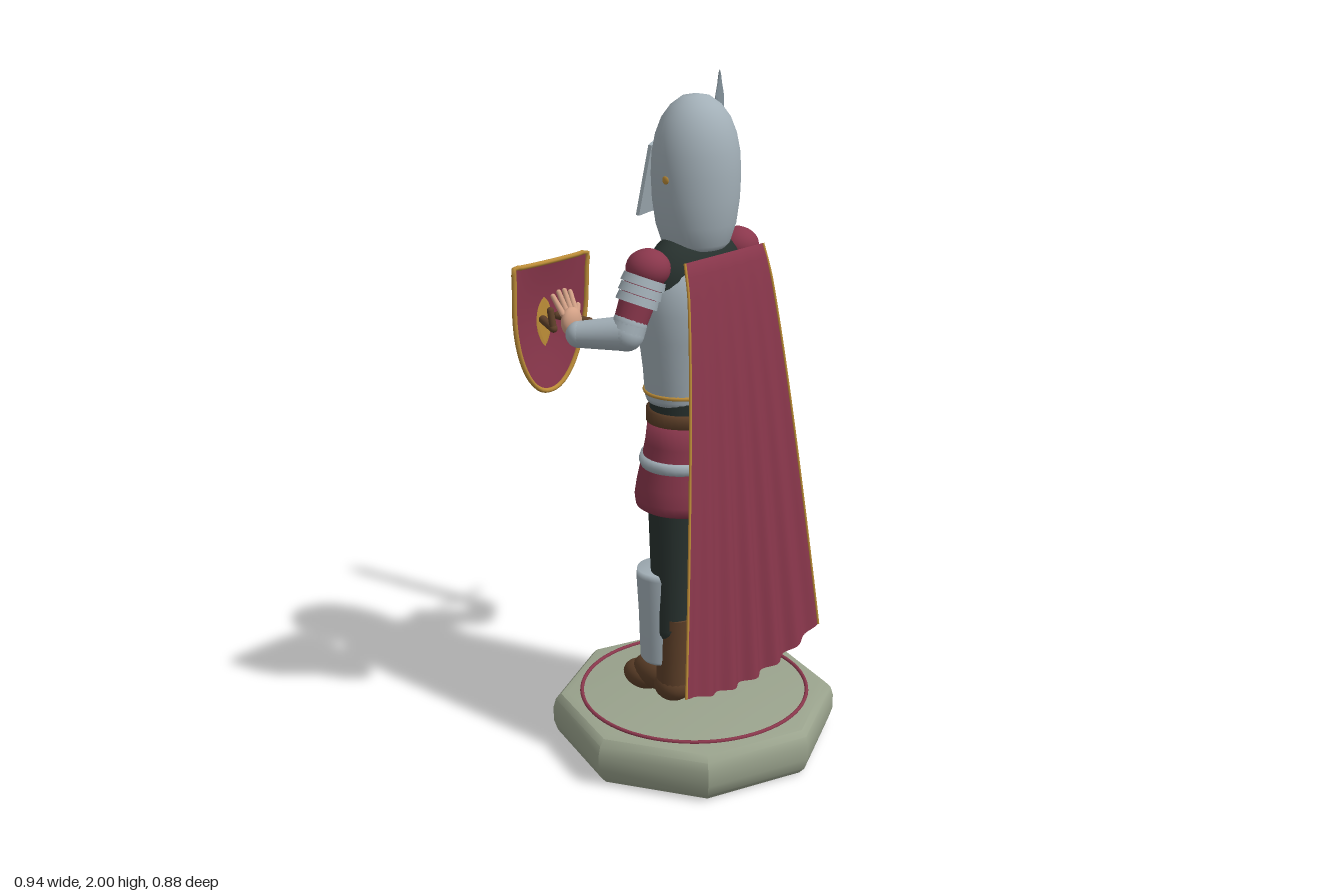
import * as THREE from 'three';
import { toCreasedNormals } from 'three/addons/utils/BufferGeometryUtils.js';
import { ParametricGeometry } from 'three/addons/geometries/ParametricGeometry.js';

const colour = (name, color, side = THREE.FrontSide) => {
  const m = new THREE.MeshStandardMaterial({ color, side });
  m.name = name;
  return m;
};
const V = (x, y, z) => new THREE.Vector3(x, y, z);
const UP = V(0, 1, 0);

export function createModel() {
  const steel = colour('steel', 0xa3b0b8);
  const blade = colour('blade steel', 0x84929b);
  const red = colour('crimson cloth', 0x8a374c, THREE.DoubleSide);
  const dark = colour('dark cloth', 0x28322f);
  const gold = colour('gold', 0xbd8d38);
  const brown = colour('brown leather', 0x5e4029);
  const skin = colour('skin', 0xd3a186);
  const stone = colour('stone', 0x9aa38d);
  const model = new THREE.Group();
  model.name = 'knight';

  const add = (name, geo, mat, pos = [0, 0, 0], scale = [1, 1, 1], parent = model) => {
    const m = new THREE.Mesh(geo, mat);
    m.name = name;
    m.position.set(...pos);
    m.scale.set(...scale);
    parent.add(m);
    return m;
  };
  const lathe = (pts, segs = 40) => new THREE.LatheGeometry(pts.map(p => new THREE.Vector2(...p)), segs);
  const ball = (name, mat, pos, scale, parent) =>
    add(name, new THREE.SphereGeometry(1, 24, 16), mat, pos, scale, parent);
  // tapered rod from a to b, with round ends when asked
  const rod = (name, mat, a, b, ra, rb = ra, round = true) => {
    const d = b.clone().sub(a);
    const m = add(name, new THREE.CylinderGeometry(rb, ra, d.length(), 20), mat, a.clone().add(b).multiplyScalar(0.5).toArray());
    m.quaternion.setFromUnitVectors(UP, d.normalize());
    if (round) {
      ball(name + 'Start', mat, a.toArray(), [ra, ra, ra]);
      ball(name + 'End', mat, b.toArray(), [rb, rb, rb]);
    }
    return m;
  };
  const tube = (name, mat, pts, r, closed = false) =>
    add(name, new THREE.TubeGeometry(new THREE.CatmullRomCurve3(pts, closed), 64, r, 8, closed), mat);
  // pointed oval boss
  const boss = (name, pos, w, h, depth) => {
    const s = new THREE.Shape();
    s.moveTo(0, -h).quadraticCurveTo(w * 2, 0, 0, h).quadraticCurveTo(-w * 2, 0, 0, -h);
    add(name, new THREE.ExtrudeGeometry(s, { depth: 0.004, bevelThickness: depth, bevelSize: w * 0.4, bevelOffset: -w * 0.4, bevelSegments: 3 }), gold, pos);
  };

  // Octagonal plinth with inlaid ring
  add('plinth', toCreasedNormals(lathe([[0, 0], [0.41, 0], [0.428, 0.02], [0.44, 0.055], [0.44, 0.1],
    [0.432, 0.128], [0.415, 0.145], [0.39, 0.15], [0, 0.15]], 8), 0.6), stone);
  add('plinthRing', new THREE.TorusGeometry(0.35, 0.006, 8, 72), red, [0, 0.152, 0]).rotation.x = Math.PI / 2;

  // Legs, greaves and boots
  for (const s of [-1, 1]) {
    const x = s * 0.1, z = s > 0 ? 0.015 : -0.01;
    rod('leg', dark, V(s * 0.085, 0.86, 0), V(x, 0.4, z + 0.01), 0.085, 0.062);
    add('greave', lathe([[0, 0.28], [0.064, 0.28], [0.07, 0.29], [0.074, 0.44], [0.08, 0.56], [0.077, 0.58], [0, 0.585]]),
      steel, [x, 0, z - 0.03]);
    rod('bootShaft', brown, V(x, 0.2, z + 0.012), V(x, 0.44, z + 0.025), 0.056, 0.056, false);
    ball('bootHeel', brown, [x, 0.205, z + 0.01], [0.06, 0.055, 0.062]);
    ball('bootInstep', brown, [x, 0.22, z - 0.06], [0.05, 0.055, 0.085]);
    ball('bootToe', brown, [x, 0.197, z - 0.11], [0.052, 0.045, 0.072]);
  }

  // Tunic skirt, band and belts
  add('skirt', lathe([[0, 0.785], [0.18, 0.78], [0.196, 0.79], [0.2, 0.815], [0.192, 0.86], [0.177, 0.92],
    [0.163, 0.98], [0.152, 1.06], [0, 1.06]]), red, [0, 0, 0], [1, 1, 0.8]);
  add('skirtBand', lathe([[0.16, 0.908], [0.18, 0.91], [0.186, 0.925], [0.18, 0.942], [0.16, 0.945]]), steel, [0, 0, 0], [1, 1, 0.79]);
  add('belt', lathe([[0.14, 1.04], [0.159, 1.045], [0.159, 1.08], [0.14, 1.085]]), brown, [0, 0, 0], [1, 1, 0.81]);
  add('waist', lathe([[0.148, 1.05], [0.148, 1.13]]), dark, [0, 0, 0], [1, 1, 0.8]);
  ball('buckle', gold, [0, 1.063, -0.128], [0.024, 0.02, 0.014]);

  // Breastplate, gold trim and collar
  add('breastplate', lathe([[0, 1.105], [0.15, 1.105], [0.156, 1.12], [0.162, 1.2], [0.175, 1.3], [0.18, 1.38],
    [0.174, 1.44], [0.155, 1.49], [0.125, 1.525], [0.07, 1.54]]), steel, [0, 0, -0.008], [1, 1, 0.8]);
  add('breastplateTrim', new THREE.TorusGeometry(0.156, 0.006, 8, 64), gold, [0, 1.135, -0.008], [1, 0.81, 1]).rotation.x = Math.PI / 2;
  boss('chestBoss', [0, 1.33, -0.16], 0.042, 0.1, 0.009);
  add('collar', lathe([[0.17, 1.42], [0.178, 1.48], [0.168, 1.525], [0.135, 1.563], [0.1, 1.585], [0.07, 1.6]]), dark, [0, 0, -0.005], [1, 1, 0.55]);

  // Helmet
  add('helmet', lathe([[0, 1.55], [0.085, 1.55], [0.1, 1.565], [0.118, 1.62], [0.128, 1.69], [0.131, 1.76], [0.128, 1.82],
    [0.118, 1.87], [0.1, 1.915], [0.073, 1.95], [0.04, 1.973], [0, 1.98]]), steel, [0, 0, 0.006], [1, 1, 0.95]);
  const visor = new THREE.Group();
  visor.name = 'visor';
  visor.position.set(0, 1.745, -0.145);
  visor.rotation.x = 0.22;
  model.add(visor);
  for (const s of [-1, 1]) {
    const plate = new THREE.Shape([[0, -0.115], [0.112, -0.1], [0.102, 0.105], [0, 0.115]].map(p => new THREE.Vector2(s * p[0], p[1])));
    plate.holes.push(new THREE.Path([[0.025, 0.02], [0.075, 0.02], [0.075, 0.044], [0.025, 0.044]].map(p => new THREE.Vector2(s * p[0], p[1]))));
    add('visorPlate', new THREE.ExtrudeGeometry(plate, { depth: 0.01, bevelEnabled: false }), steel, [0, 0, 0], [1, 1, 1], visor).rotation.y = -s * 0.36;
    ball('visorPivot', gold, [s * 0.129, 1.755, 0.005], [0.005, 0.012, 0.012]);
  }
  add('visorRidge', new THREE.BoxGeometry(0.012, 0.23, 0.012), gold, [0, 0, 0], [1, 1, 1], visor);

  // Arms: sleeve, shoulder lames, elbow and vambrace
  const arm = (S, E, W) => {
    ball('shoulder', red, S.toArray(), [0.062, 0.055, 0.064]);
    rod('sleeve', red, S, E, 0.056, 0.045);
    for (const t of [0.14, 0.28, 0.42]) {
      rod('shoulderLame', steel, S.clone().lerp(E, t), S.clone().lerp(E, t + 0.13), 0.062 - t * 0.01, 0.066 - t * 0.012, false);
    }
    rod('elbow', steel, S.clone().lerp(E, 0.85), E, 0.049, 0.05);
    rod('vambrace', steel, E, W, 0.05, 0.038);
  };
  arm(V(0.2, 1.52, 0), V(0.29, 1.34, -0.02), V(0.345, 1.235, -0.145));
  arm(V(-0.2, 1.52, 0), V(-0.27, 1.345, -0.02), V(-0.335, 1.335, -0.14));

  // Sword
  const sx = 0.36, sz = -0.2;
  const edge = new THREE.Shape([[-0.027, 1.33], [0.027, 1.33], [0.021, 1.92], [0, 2], [-0.021, 1.92]].map(p => new THREE.Vector2(...p)));
  add('swordBlade', new THREE.ExtrudeGeometry(edge, { depth: 0.002, bevelThickness: 0.004, bevelSize: 0.008, bevelOffset: -0.008, bevelSegments: 1 }), blade, [sx, 0, sz - 0.001]);
  tube('swordGuard', gold, [V(sx - 0.105, 1.335, sz), V(sx - 0.06, 1.325, sz), V(sx, 1.32, sz), V(sx + 0.06, 1.325, sz), V(sx + 0.105, 1.335, sz)], 0.009);
  ball('guardCentre', gold, [sx, 1.322, sz], [0.03, 0.014, 0.015]);
  rod('swordGrip', brown, V(sx, 1.18, sz), V(sx, 1.32, sz), 0.013, 0.013, false);
  ball('pommel', gold, [sx, 1.17, sz], [0.025, 0.024, 0.025]);

  // Sword hand wrapped round the grip
  ball('swordPalm', skin, [sx + 0.002, 1.245, sz + 0.02], [0.036, 0.045, 0.03]);
  for (let i = 0; i < 4; i++) {
    add('swordFinger', new THREE.TorusGeometry(0.023, 0.01, 8, 20), skin, [sx, 1.213 + i * 0.02, sz]).rotation.x = Math.PI / 2;
  }

  // Open shield hand
  ball('shieldPalm', skin, [-0.328, 1.365, -0.175], [0.035, 0.042, 0.024]);
  for (let i = 0; i < 4; i++) {
    const x = -0.352 + i * 0.017;
    rod('shieldFinger', skin, V(x, 1.39, -0.185), V(x + (i - 1.5) * 0.006, 1.45 - Math.abs(i - 1.5) * 0.008, -0.212), 0.009, 0.007);
  }
  rod('shieldThumb', skin, V(-0.305, 1.365, -0.18), V(-0.28, 1.4, -0.195), 0.01, 0.008);

  // Shield: domed heater face with gold rim, boss and straps
  const cx = -0.323;
  const shieldPoint = (u, v) => {
    const a = 2 * u - 1;
    const w = 0.003 + 0.142 * (v < 0.3 ? 1 - 0.03 * v : 0.991 * Math.sqrt(Math.max(0, 1 - Math.pow((v - 0.3) / 0.7, 1.9))));
    const y = 1.52 - 0.375 * v + 0.008 * a * a * (1 - v);
    return V(cx + a * w, y, -0.252 - 0.018 * v - 0.03 * (1 - a * a) * Math.sin(Math.PI * (0.2 + 0.8 * v)));
  };
  add('shieldFace', new ParametricGeometry((u, v, t) => t.copy(shieldPoint(u, v)), 24, 32), red);
  const rim = [];
  for (let i = 0; i < 10; i++) rim.push(shieldPoint(i / 10, 0));
  for (let i = 0; i < 16; i++) rim.push(shieldPoint(1, Math.sin(i / 16 * Math.PI / 2)));
  for (let i = 16; i > 0; i--) rim.push(shieldPoint(0, Math.sin(i / 16 * Math.PI / 2)));
  tube('shieldRim', gold, rim, 0.007, true);
  boss('shieldBoss', [cx, 1.35, -0.298], 0.036, 0.095, 0.008);
  rod('shieldStrap', brown, V(-0.375, 1.35, -0.2), V(-0.35, 1.36, -0.265), 0.012);
  rod('shieldStrap', brown, V(-0.255, 1.35, -0.175), V(-0.29, 1.36, -0.265), 0.012);
  rod('shieldHandle', brown, V(-0.375, 1.35, -0.2), V(-0.375, 1.4, -0.21), 0.01);

  // Cape with deepening folds and gold edges
  const capePoint = (u, v) => {
    const a = 2 * u - 1;
    const hem = 0.26 + 0.06 * a * a;
    const fold = 0.012 * v * Math.cos(a * Math.PI * 6) * (1 - a * a * 0.6);
    return V(a * (0.175 + 0.148 * v), 1.545 + (hem - 1.545) * v, 0.112 + 0.122 * Math.pow(v, 0.66) + fold);
  };
  add('cape', new ParametricGeometry((u, v, t) => t.copy(capePoint(u, v)), 96, 32), red);
  for (const u of [0, 1]) {
    tube('capeTrim', gold, Array.from({ length: 16 }, (_, i) => capePoint(u, i / 15)), 0.004);
  }
  return model;
}
